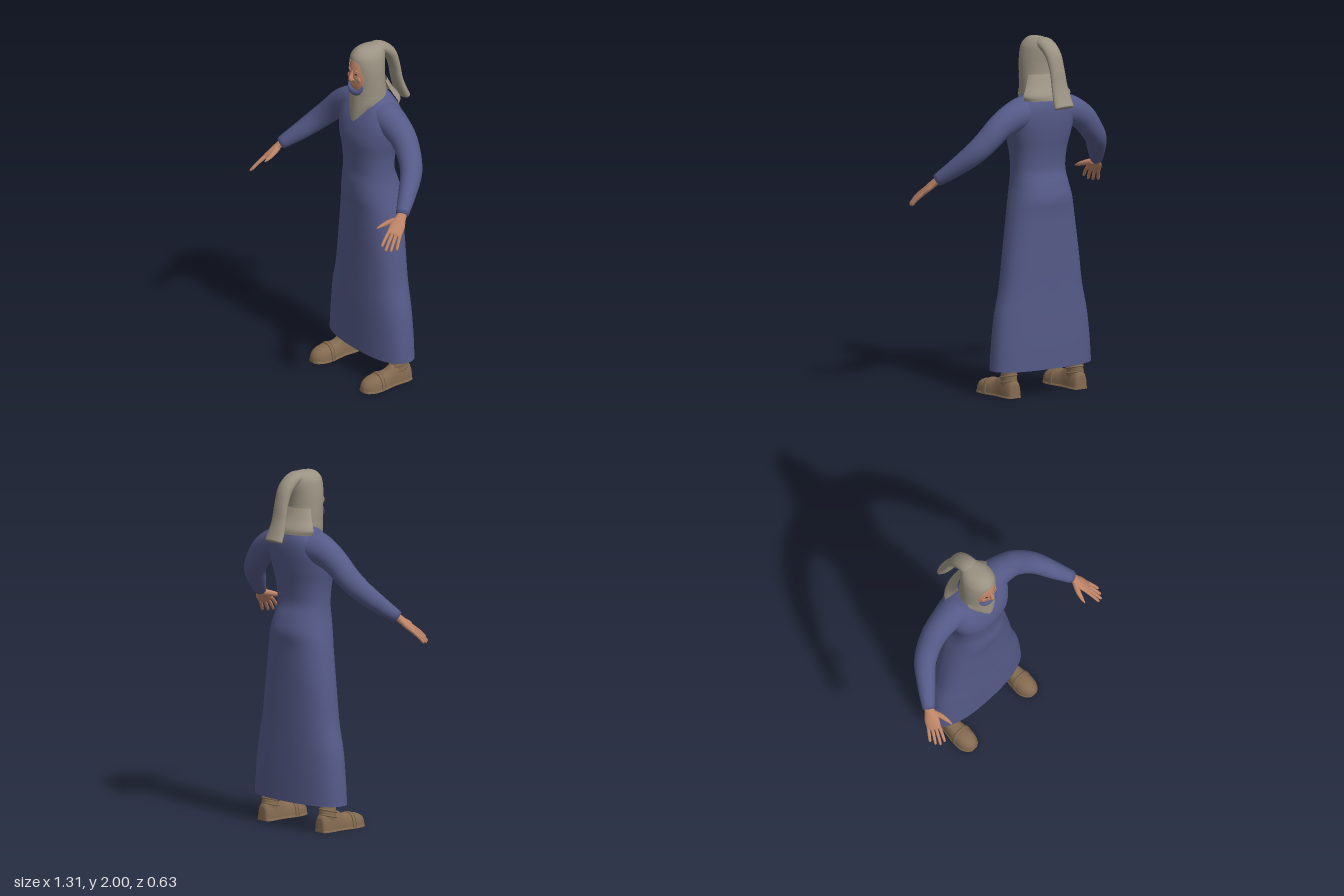
import * as THREE from 'three';
import { mergeVertices } from 'three/addons/utils/BufferGeometryUtils.js';

const mat = (name, color, side = THREE.FrontSide) =>
  Object.assign(new THREE.MeshStandardMaterial({ color, side }), { name });

// Smooth grid surface; fn(u, v) returns a point
function surface(rows, cols, fn) {
  const pos = [], idx = [];
  for (let i = 0; i <= rows; i++)
    for (let j = 0; j <= cols; j++) pos.push(...fn(i / rows, j / cols));
  for (let i = 0; i < rows; i++)
    for (let j = 0; j < cols; j++) {
      const a = i * (cols + 1) + j, b = a + cols + 1;
      idx.push(a, a + 1, b, b, a + 1, b + 1);
    }
  let g = new THREE.BufferGeometry();
  g.setAttribute('position', new THREE.Float32BufferAttribute(pos, 3));
  g.setIndex(idx);
  g = mergeVertices(g, 1e-5);
  g.computeVertexNormals();
  return g;
}

const V = (x, y, z) => new THREE.Vector3(x, y, z);
const spline = pts => new THREE.CatmullRomCurve3(pts, false, 'centripetal');
const spow = (x, p) => Math.sign(x) * Math.abs(x) ** p;

// Stack of horizontal rings [y, halfWidth, zFront, zBack]; open(y, halfWidth) cuts a front gap
function stack(rings, { n = 2, rows = 48, cols = 48, open = () => 0 } = {}) {
  const c = new THREE.CatmullRomCurve3(rings.map(r => V(r[0], r[1], 0)), false, 'catmullrom', 0.5);
  const d = new THREE.CatmullRomCurve3(rings.map(r => V(r[2], r[3], 0)), false, 'catmullrom', 0.5);
  return surface(rows, cols, (u, v) => {
    const p = c.getPoint(u), q = d.getPoint(u), o = open(p.x, p.y);
    const t = o + v * (2 * Math.PI - 2 * o), hz = (q.x - q.y) / 2;
    return [p.y * spow(Math.sin(t), 2 / n), p.x, (q.x + q.y) / 2 + hz * spow(Math.cos(t), 2 / n)];
  });
}

// Closed tapering limb through [x, y, z, radiusA, radiusB]; axis A follows ref
function limb(pts, ref = V(0, 0, 1), rows = 24, cols = 16) {
  const path = new THREE.CatmullRomCurve3(pts.map(p => V(p[0], p[1], p[2])), false, 'catmullrom', 0.5);
  const rad = new THREE.CatmullRomCurve3(pts.map(p => V(p[3], p[4] ?? p[3], 0)), false, 'catmullrom', 0.5);
  return surface(rows + 2, cols, (u, v) => {
    const i = Math.round(u * (rows + 2)) - 1, t = Math.min(Math.max(i / rows, 0), 1);
    const k = i < 0 || i > rows ? 0 : 1;
    const p = path.getPoint(t), r = rad.getPoint(t), T = path.getTangent(t);
    const A = ref.clone().addScaledVector(T, -ref.dot(T)).normalize(), B = T.clone().cross(A);
    const w = v * 2 * Math.PI;
    return p.addScaledVector(A, k * r.x * Math.cos(w)).addScaledVector(B, k * r.y * Math.sin(w)).toArray();
  });
}

// Flat-bottomed shoe form through [z, halfWidth, height]
function shoe(pts, x, rows = 28) {
  const c = new THREE.CatmullRomCurve3(pts.map(p => V(p[1], p[2], p[0])), false, 'catmullrom', 0.5);
  return surface(rows + 2, 28, (u, v) => {
    const i = Math.round(u * (rows + 2)) - 1, k = i < 0 || i > rows ? 0 : 1;
    const p = c.getPoint(Math.min(Math.max(i / rows, 0), 1)), w = v * 2 * Math.PI;
    return [x + k * p.x * spow(Math.cos(w), 0.8), k * p.y * Math.max(0, Math.sin(w)) ** 0.8, p.z];
  });
}

function mirrored(geo) {
  const g = geo.clone().scale(-1, 1, 1), a = g.index.array;
  for (let i = 0; i < a.length; i += 3) [a[i], a[i + 1]] = [a[i + 1], a[i]];
  g.computeVertexNormals();
  return g;
}

export function createModel() {
  const root = new THREE.Group();
  root.name = 'robedFigure';
  const robe = mat('robe blue', 0x555a88, THREE.DoubleSide);
  const cloth = mat('hood cloth', 0x9a9282, THREE.DoubleSide);
  const skin = mat('skin', 0xbd8467);
  const leather = mat('boot leather', 0x836a50);
  const dark = mat('dark features', 0x33261f);
  const lip = mat('lips', 0x95604f);
  const add = (name, geo, m) => {
    const mesh = new THREE.Mesh(geo, m);
    mesh.name = name;
    root.add(mesh);
  };
  const pair = (name, geo, m) => {
    add(name + 'Left', geo, m);
    add(name + 'Right', mirrored(geo), m);
  };
  const ball = (x, y, z, a, b, c) => new THREE.SphereGeometry(1, 32, 20).scale(a, b, c).translate(x, y, z);

  // Robe body, open at the hem
  add('robe', stack([
    [0.15, 0.33, 0.05, -0.21], [0.3, 0.318, 0.05, -0.21], [0.45, 0.298, 0.05, -0.208],
    [0.6, 0.264, 0.048, -0.207], [0.8, 0.237, 0.048, -0.207], [1.0, 0.205, 0.055, -0.21],
    [1.1, 0.185, 0.066, -0.218], [1.18, 0.168, 0.067, -0.2], [1.26, 0.16, 0.06, -0.174],
    [1.36, 0.168, 0.066, -0.18], [1.46, 0.192, 0.076, -0.198], [1.55, 0.205, 0.06, -0.208],
    [1.62, 0.185, 0.03, -0.205], [1.67, 0.13, 0.0, -0.185], [1.71, 0.08, -0.02, -0.16],
    [1.74, 0.06, -0.03, -0.145]], { n: 2.4, rows: 80, cols: 64 }), robe);

  // Sleeves
  pair('sleeve', limb([
    [0.05, 1.6, -0.09, 0.1, 0.08], [0.13, 1.585, -0.09, 0.095, 0.088], [0.21, 1.56, -0.088, 0.082, 0.082],
    [0.29, 1.515, -0.083, 0.072, 0.074], [0.36, 1.445, -0.066, 0.068, 0.066], [0.425, 1.375, -0.028, 0.062, 0.06],
    [0.49, 1.295, 0.05, 0.05, 0.05], [0.553, 1.222, 0.132, 0.035, 0.036]], V(0.3, 0.3, 1), 40, 24), robe);

  // Hands: palm, four fingers fanned along the knuckle line, thumb
  const dir = V(0.34, -0.64, 0.69).normalize(), knuckle = V(0.7, -0.32, -0.64).normalize();
  const at = (o, s, d) => o.clone().addScaledVector(knuckle, s).addScaledVector(dir, d);
  const wrist = V(0.548, 1.228, 0.125), palm = V(0.592, 1.145, 0.215);
  pair('palm', limb([
    [...wrist.toArray(), 0.026, 0.022], [...at(wrist, 0, 0.04).toArray(), 0.032, 0.02],
    [...at(wrist, 0, 0.08).toArray(), 0.042, 0.018], [...palm.toArray(), 0.041, 0.014],
    [...at(palm, 0, 0.012).toArray(), 0.034, 0.007]], knuckle), skin);
  [0.092, 0.108, 0.1, 0.08].forEach((len, i) => {
    const s = -0.03 + i * 0.02, lean = (i - 1.5) * 0.008;
    const p = at(palm, s, -0.015), q = at(palm, s + lean * 0.6, len * 0.5), e = at(palm, s + lean, len);
    e.y -= 0.008;
    pair('finger' + (i + 1), limb([[...p.toArray(), 0.0105], [...q.toArray(), 0.0095],
      [...q.clone().lerp(e, 0.8).toArray(), 0.008], [...e.toArray(), 0.003]], knuckle, 12, 10), skin);
  });
  pair('thumb', limb([[0.55, 1.2, 0.16, 0.018], [0.528, 1.188, 0.205, 0.015],
    [0.517, 1.175, 0.245, 0.011], [0.512, 1.165, 0.277, 0.003]], knuckle, 12, 10), skin);

  // Head and face
  add('head', ball(0, 1.835, -0.015, 0.08, 0.135, 0.077), skin);
  add('neck', new THREE.CylinderGeometry(0.055, 0.06, 0.12, 24).translate(0, 1.72, -0.06), skin);
  add('nose', limb([[0, 1.872, 0.052, 0.008, 0.008], [0, 1.845, 0.062, 0.01, 0.012],
    [0, 1.823, 0.067, 0.014, 0.016], [0, 1.812, 0.062, 0.012, 0.01]], V(1, 0, 0), 12, 12), skin);
  pair('nostril', ball(0.012, 1.82, 0.06, 0.008, 0.007, 0.009), skin);
  pair('cheek', ball(0.036, 1.825, 0.043, 0.02, 0.022, 0.012), skin);
  pair('eye', ball(0.028, 1.857, 0.055, 0.011, 0.004, 0.004), dark);
  pair('brow', limb([[0.012, 1.872, 0.06, 0.003], [0.03, 1.877, 0.056, 0.004],
    [0.048, 1.87, 0.045, 0.002]], V(0, 0, 1), 10, 8), skin);
  add('mouth', ball(0, 1.788, 0.055, 0.022, 0.006, 0.007), lip);

  // Short beard along the jaw
  add('beard', limb([[-0.06, 1.785, 0.03, 0.005, 0.006], [-0.046, 1.755, 0.04, 0.012, 0.012],
    [-0.02, 1.74, 0.046, 0.016, 0.018], [0.02, 1.74, 0.046, 0.016, 0.018],
    [0.046, 1.755, 0.04, 0.012, 0.012], [0.06, 1.785, 0.03, 0.005, 0.006]], V(0, 0, 1), 28, 14), robe);

  // Hood with a face opening
  const gap = (y, w) => {
    const k = 1 - ((y - 1.828) / 0.108) ** 2;
    return k > 0 ? Math.asin(Math.min(0.95, 0.061 * k ** 0.35 / w)) : 0;
  };
  add('hood', stack([
    [1.66, 0.1, 0.05, -0.165], [1.72, 0.1, 0.05, -0.155], [1.8, 0.1, 0.05, -0.145],
    [1.86, 0.098, 0.054, -0.145], [1.91, 0.091, 0.057, -0.15], [1.95, 0.08, 0.052, -0.152],
    [1.98, 0.058, 0.03, -0.145], [1.995, 0.03, 0, -0.115], [2.0, 0.001, -0.045, -0.05]],
  { rows: 72, open: gap }), cloth);

  // Front drape, narrowing to a ragged tip
  add('hoodDrape', surface(20, 24, (u, v) => {
    const s = v * 2 - 1, w = 0.102 - 0.034 * u ** 3;
    const end = 1.56 + 0.075 * Math.abs(s) ** 1.7 + 0.004 * Math.sin(v * 40);
    const y = 1.725 + (end - 1.725) * u;
    return [-w * s, y, 0.052 + 0.006 * u - (0.075 - 0.025 * u) * s * s];
  }), cloth);

  // Flared flaps over the back of the shoulders
  add('hoodCape', stack([[1.66, 0.155, -0.02, -0.218], [1.69, 0.162, -0.03, -0.212], [1.74, 0.128, -0.03, -0.178],
    [1.8, 0.1, -0.03, -0.148]], { rows: 14, open: () => 1.75 }), cloth);

  // Long tail hanging from the crown
  add('hoodTail', limb([
    [0, 1.95, -0.06, 0.05, 0.035], [0, 1.965, -0.125, 0.052, 0.034], [0, 1.915, -0.195, 0.05, 0.034],
    [-0.002, 1.83, -0.232, 0.048, 0.026], [-0.004, 1.74, -0.252, 0.052, 0.024],
    [-0.005, 1.67, -0.275, 0.06, 0.026], [-0.005, 1.625, -0.295, 0.064, 0.026]], V(1, 0, 0), 36, 24), cloth);

  // Boots with soles, shafts and straps
  const bx = 0.23;
  const foot = [[-0.16, 0.03, 0.075], [-0.145, 0.042, 0.1], [-0.1, 0.047, 0.115], [-0.04, 0.045, 0.112],
    [0.0, 0.05, 0.09], [0.06, 0.058, 0.085], [0.11, 0.056, 0.077], [0.148, 0.038, 0.058], [0.165, 0.014, 0.03]];
  pair('boot', shoe(foot, bx), leather);
  pair('sole', shoe(foot.map(([z, w]) => [z, w + 0.004, 0.02]), bx), leather);
  pair('bootShaft', limb([[bx, 0.05, -0.095, 0.044, 0.056], [bx, 0.11, -0.095, 0.041, 0.054],
    [bx - 0.002, 0.16, -0.095, 0.038, 0.05], [bx - 0.008, 0.3, -0.095, 0.045, 0.052],
    [bx - 0.02, 0.45, -0.09, 0.05, 0.055]], V(1, 0, 0)), leather);
  pair('toeStrap', shoe([[0.045, 0.059, 0.09], [0.055, 0.061, 0.09], [0.068, 0.061, 0.088]], bx, 4), leather);
  for (const [i, y] of [0.085, 0.115].entries())
    pair('ankleStrap' + (i + 1), new THREE.TorusGeometry(1, 0.09, 8, 32).rotateX(Math.PI / 2)
      .scale(0.043, 0.06, 0.055).rotateX(0.25).translate(bx, y, -0.092), leather);

  return root;
}
